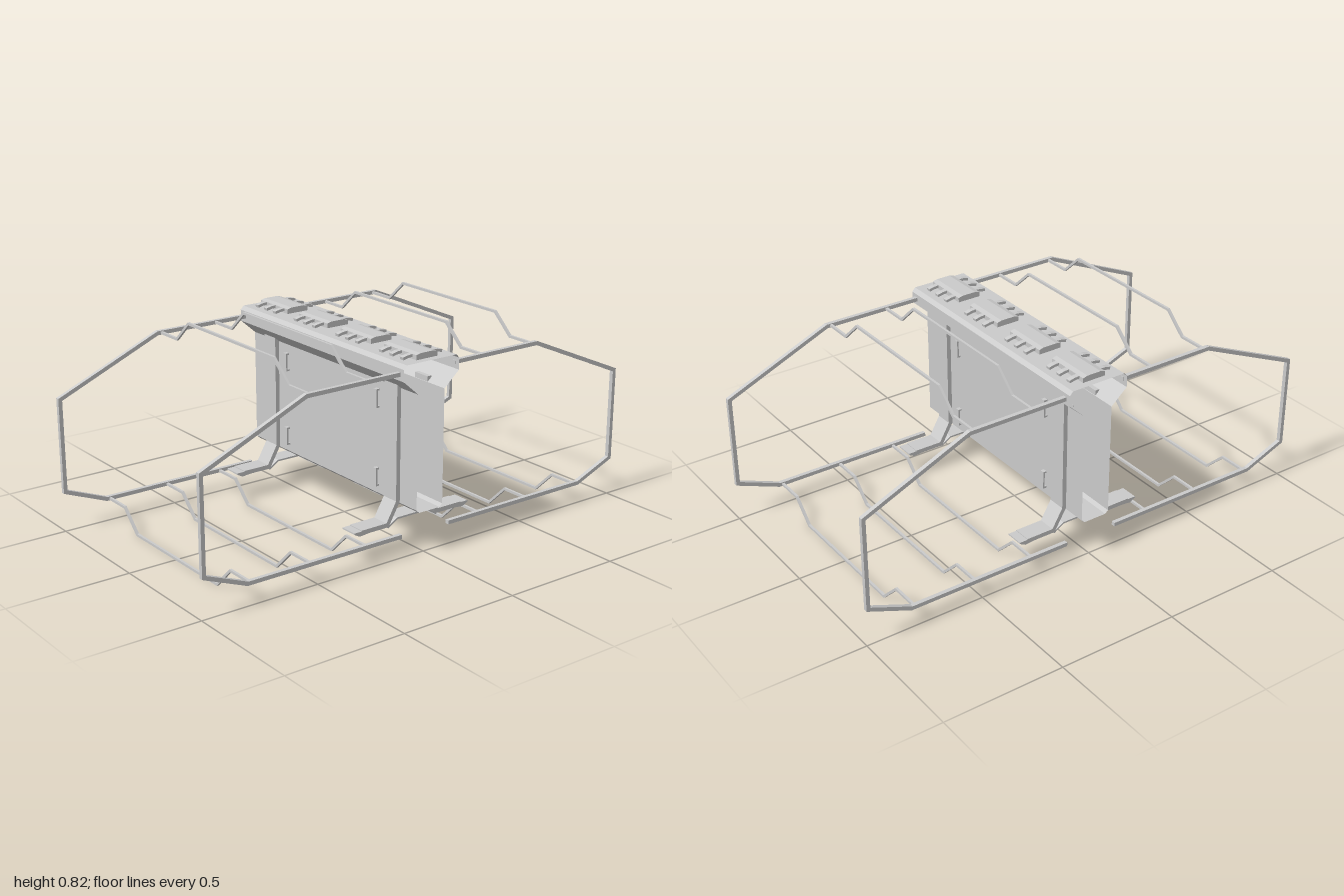
import * as THREE from 'three';

const solid = new THREE.MeshStandardMaterial({ color: 0xcccccc, flatShading: true });
const sheet = new THREE.MeshStandardMaterial({ color: 0xcccccc, flatShading: true, side: THREE.DoubleSide });

// Closed outline of a mitred strip of thickness t that follows a polyline
function stripShape(points, t) {
  const p = points.map(([x, y]) => new THREE.Vector2(x, y));
  const left = [], right = [];
  p.forEach((v, i) => {
    const a = p[Math.max(i - 1, 0)], b = p[Math.min(i + 1, p.length - 1)];
    const d1 = (i > 0 ? v.clone().sub(a) : b.clone().sub(v)).normalize();
    const d2 = (i < p.length - 1 ? b.clone().sub(v) : d1.clone()).normalize();
    const n1 = new THREE.Vector2(-d1.y, d1.x), n2 = new THREE.Vector2(-d2.y, d2.x);
    const m = n1.clone().add(n2).normalize();
    m.multiplyScalar(t / 2 / m.dot(n1));
    left.push(v.clone().add(m));
    right.unshift(v.clone().sub(m));
  });
  return new THREE.Shape([...left, ...right]);
}

// Extrusion along z, centred on its own depth
function extrude(shape, depth) {
  return new THREE.ExtrudeGeometry(shape, { depth, bevelEnabled: false }).translate(0, 0, -depth / 2);
}

// Folded sheet without thickness, running along z
function foldedSheet(points, depth) {
  const g = new THREE.PlaneGeometry(1, depth, points.length - 1, 1);
  const pos = g.attributes.position;
  for (let i = 0; i < pos.count; i++) {
    const [x, y] = points[i % points.length];
    pos.setXYZ(i, x, y, i < points.length ? depth / 2 : -depth / 2);
  }
  const flat = g.toNonIndexed();
  flat.computeVertexNormals();
  return flat;
}

export function createModel() {
  const model = new THREE.Group();
  const add = (name, geometry, x = 0, y = 0, z = 0, material = solid) => {
    const mesh = new THREE.Mesh(geometry, material);
    mesh.name = name;
    mesh.position.set(x, y, z);
    model.add(mesh);
    return mesh;
  };
  const mirror = (pts, s) => pts.map(([x, y]) => [x * s, y]);

  // Hollow core, open at both ends, flaring into the cap
  const half = [[0.05, 0.18], [0.063, 0.192], [0.063, 0.65], [0.132, 0.71], [0.132, 0.757], [0.118, 0.772]];
  const loop = [...half, ...mirror(half, -1).reverse(), half[0]];
  add('coreShell', foldedSheet(loop, 1.065), 0, 0, 0, sheet);

  // Keels below the core, with sloped ends
  const keel = new THREE.Shape([[-0.11, 0], [0.11, 0], [0.085, -0.015], [-0.085, -0.015]].map(([x, y]) => new THREE.Vector2(x, y)));
  for (const z of [-0.188, 0.188]) add('keel', extrude(keel, 0.06).rotateY(Math.PI / 2), 0, 0.18, z);

  // Clip modules on the cap: raised centre, side steps and three fingers each side
  const dome = new THREE.Shape([[-0.05, 0], [0.05, 0], [0.05, 0.019], [0.03, 0.024], [-0.03, 0.024], [-0.05, 0.019]]
    .map(([x, y]) => new THREE.Vector2(x, y)));
  const finger = [[0.045, 0.014], [0.07, 0.012], [0.093, 0.007]];
  for (const z of [-0.408, -0.138, 0.138, 0.408]) {
    add('clipModule', extrude(dome, 0.19), 0, 0.772, z);
    for (const dz of [-0.062, 0, 0.062])
      for (const s of [-1, 1])
        add('clipFinger', extrude(stripShape(mirror(finger, s), 0.011), 0.02), 0, 0.772, z + dz);
  }

  // Straps down the core that bend out into feet, plus a thin saddle between the feet
  const strap = [[0.073, 0.672], [0.073, 0.2], [0.122, 0.115], [0.245, 0.115]];
  const toe = new THREE.Shape([[0.2, 0.107], [0.255, 0.102], [0.28, 0.115], [0.28, 0.121], [0.2, 0.121]]
    .map(([x, y]) => new THREE.Vector2(x, y)));
  for (const z of [-0.396, 0.396]) {
    for (const s of [-1, 1]) {
      add('strap', extrude(stripShape(mirror(strap, s), 0.018), 0.075), 0, 0, z);
      add('toe', extrude(toe, 0.075).rotateY(s < 0 ? Math.PI : 0), 0, 0, z);
    }
    const saddle = [[-0.12, 0.104], [-0.075, 0.132], [0.075, 0.132], [0.12, 0.104]];
    add('saddle', extrude(stripShape(saddle, 0.007), 0.075), 0, 0, z);
  }

  // Small pull handles on the core sides
  const pull = [[0, -0.034], [0.013, -0.034], [0.013, 0.034], [0, 0.034]];
  for (const s of [-1, 1])
    for (const z of [-0.296, 0.296])
      for (const y of [0.578, 0.26])
        add('pullHandle', extrude(stripShape(mirror(pull, s), 0.007), 0.018), s * 0.062, y, z);

  // Wing frames at the front and back
  const frame = [[0.13, 0.735], [0.55, 0.735], [0.992, 0.545], [0.992, 0.165], [0.812, 0.093], [0.115, 0.093]];
  for (const s of [-1, 1])
    for (const z of [-0.504, 0.504])
      add('wingFrame', extrude(stripShape(mirror(frame, s), 0.016), 0.017), 0, 0, z);

  // Cranked rods joining the front and back frames
  const rod = (name, x, y, rise) => {
    const path = [[-0.5, y], [-0.378, y], [-0.288, y + rise], [0.288, y + rise], [0.378, y], [0.5, y]];
    add(name, extrude(stripShape(path, 0.01), 0.01).rotateY(Math.PI / 2), x);
  };
  for (const s of [-1, 1]) {
    for (const x of [0.277, 0.532]) rod('upperRod', s * x, 0.735, 0.082);
    for (const x of [0.277, 0.532, 0.797]) rod('lowerRod', s * x, 0.092, -0.087);
  }
  return model;
}
